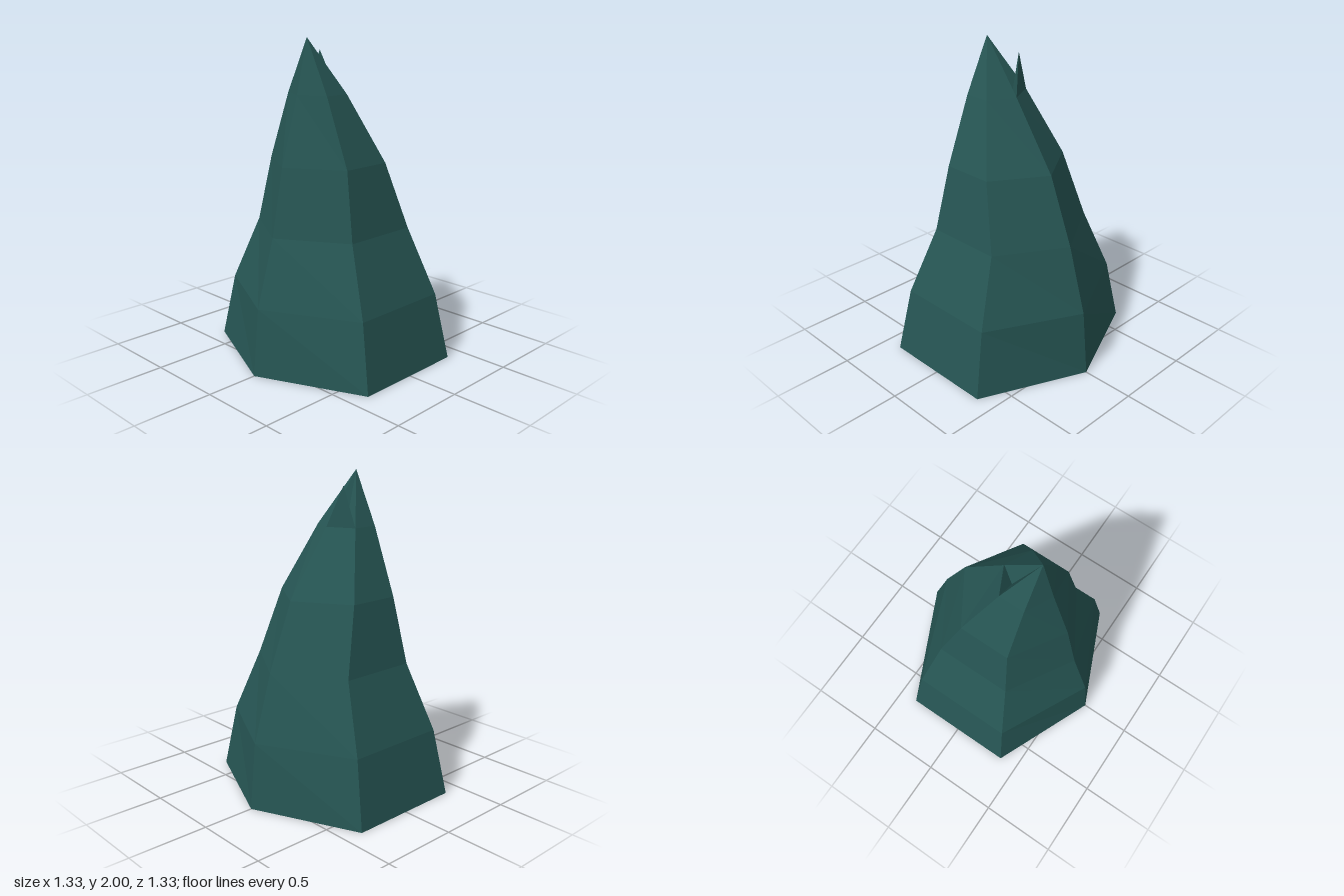
import * as THREE from 'three';

export function createModel() {
  const group = new THREE.Group();
  const rockGreen = new THREE.MeshStandardMaterial({
    color: 0x265553, flatShading: true, side: THREE.DoubleSide,
  });
  rockGreen.name = 'darkTeal';

  // Each level: height, left corner x, left shoulder x, right shoulder x, right corner x, depth
  const levels = [
    [0, -0.667, -0.375, 0.375, 0.667, 0.667],
    [0.417, -0.625, -0.333, 0.333, 0.625, 0.583],
    [0.833, -0.5, -0.25, 0.25, 0.5, 0.417],
    [1.25, -0.417, -0.208, 0.125, 0.333, 0.333],
    [1.667, -0.292, -0.208, -0.042, 0.042, 0.167],
  ];
  // Hexagonal ring, running from the right corner over the front to the back
  const rings = levels.map(([y, l, sl, sr, r, d]) => [
    [r, y, 0], [sr, y, d], [sl, y, d], [l, y, 0], [sl, y, -d], [sr, y, -d],
  ]);
  const apex = [-0.208, 2, 0];
  const notch = [-0.06, 1.667, -0.067];
  const spikeTip = [-0.022, 1.917, -0.083];

  const addMesh = (name, triangles) => {
    const geometry = new THREE.BufferGeometry();
    geometry.setAttribute('position', new THREE.Float32BufferAttribute(triangles.flat(2), 3));
    geometry.computeVertexNormals();
    const mesh = new THREE.Mesh(geometry, rockGreen);
    mesh.name = name;
    group.add(mesh);
  };

  // Tapering six-sided walls, open underneath
  const walls = [];
  for (let k = 0; k < rings.length - 1; k++) {
    for (let i = 0; i < 6; i++) {
      const j = (i + 1) % 6;
      const a = rings[k][i], b = rings[k][j], c = rings[k + 1][j], d = rings[k + 1][i];
      walls.push([a, c, b], [a, d, c]);
    }
  }
  addMesh('walls', walls.map(([a, b, c]) => [a, c, b]).map(([a, b, c]) => outward(a, b, c)));

  // Leaning peak with a notch cut in its back-left side
  const top = rings[4];
  const peak = [];
  for (let i = 0; i < 5; i++) peak.push(outward(top[i], top[i + 1], apex));
  peak.push([top[5], notch, apex], [notch, top[0], apex]);
  addMesh('peak', peak);

  // Small side spike rising from the notch
  addMesh('sideSpike', [
    [top[5], top[0], spikeTip],
    [top[0], notch, spikeTip],
    [notch, top[5], spikeTip],
  ].map(([a, b, c]) => [a, c, b]));

  // Wind the side spike like the other faces, away from its own centre
  const spike = group.getObjectByName('sideSpike').geometry;
  const centre = [top[0], top[5], notch, spikeTip]
    .reduce((sum, p) => sum.add(new THREE.Vector3(...p)), new THREE.Vector3()).divideScalar(4);
  const fixed = [];
  const pos = spike.attributes.position;
  for (let i = 0; i < pos.count; i += 3) {
    const p = [0, 1, 2].map((n) => new THREE.Vector3().fromBufferAttribute(pos, i + n).toArray());
    fixed.push(outward(...p, centre));
  }
  spike.setAttribute('position', new THREE.Float32BufferAttribute(fixed.flat(2), 3));
  spike.computeVertexNormals();

  return group;
}

// Orders a triangle's corners so that it faces away from the given centre
function outward(a, b, c, centre = new THREE.Vector3(-0.1, 0.8, 0)) {
  const [p, q, r] = [a, b, c].map((v) => new THREE.Vector3(...v));
  const normal = q.clone().sub(p).cross(r.clone().sub(p));
  return normal.dot(p.sub(centre)) < 0 ? [a, c, b] : [a, b, c];
}
